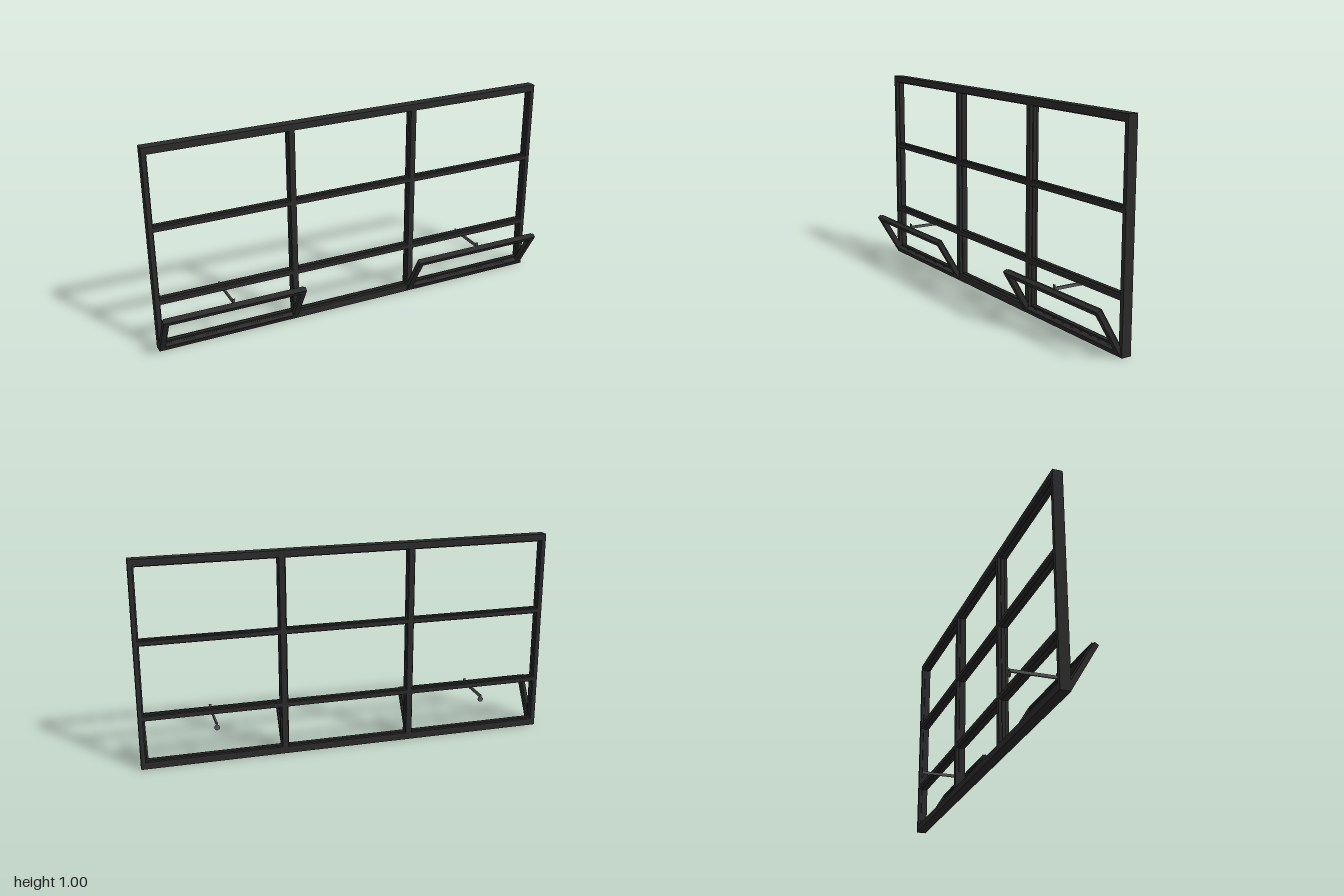
import * as THREE from 'three';

const frameMat = new THREE.MeshStandardMaterial({ color: 0x2a2a2a });
frameMat.name = 'charcoal frame';
const metalMat = new THREE.MeshStandardMaterial({ color: 0x555555 });
metalMat.name = 'grey metal';

function rectPath(path, x0, y0, x1, y1) {
  path.moveTo(x0, y0);
  path.lineTo(x1, y0);
  path.lineTo(x1, y1);
  path.lineTo(x0, y1);
  path.closePath();
  return path;
}

// Flat panel [x0, y0, x1, y1] with rectangular openings, spanning z0..z1
function panel(name, outer, holes, z0, z1) {
  const shape = rectPath(new THREE.Shape(), ...outer);
  holes.forEach((h) => shape.holes.push(rectPath(new THREE.Path(), ...h)));
  const geo = new THREE.ExtrudeGeometry(shape, { depth: z1 - z0, bevelEnabled: false });
  geo.translate(0, 0, z0);
  const mesh = new THREE.Mesh(geo, frameMat);
  mesh.name = name;
  return mesh;
}

function box(name, w, h, d, x, y, z) {
  const mesh = new THREE.Mesh(new THREE.BoxGeometry(w, h, d), metalMat);
  mesh.name = name;
  mesh.position.set(x, y, z);
  return mesh;
}

// Nine-bay fixed frame: grid bars with a glazing lip inside each opening
function makeFrame() {
  const group = new THREE.Group();
  group.name = 'windowFrame';
  const columns = [[-0.973, -0.333], [-0.293, 0.293], [0.333, 0.973]];
  const rows = [[0.04, 0.235], [0.268, 0.597], [0.63, 0.962]];
  const openings = (grow) => columns.flatMap(([x0, x1]) =>
    rows.map(([y0, y1]) => [x0 - grow, y0 - grow, x1 + grow, y1 + grow]));
  group.add(panel('frameBars', [-1, 0, 1, 1], openings(0.006), -0.05, -0.003));
  group.add(panel('glazingLip', [-0.99, 0.01, 0.99, 0.99], openings(0), -0.036, -0.018));
  return group;
}

// Bottom-hinged sash, tilted outwards
function makeSash(x0, x1, side) {
  const sash = new THREE.Group();
  sash.name = side + 'Sash';
  const h = 0.246;
  const hole = [x0 + 0.027, 0.03, x1 - 0.027, h - 0.024];
  sash.add(panel('sashFace', [x0, 0, x1, h], [hole], -0.022, 0));
  const inner = [x0 + 0.02, 0.022, x1 - 0.02, h - 0.017];
  sash.add(panel('sashRebate', [x0 + 0.007, 0.007, x1 - 0.007, h - 0.004], [inner], -0.029, -0.022));
  sash.position.set(0, 0, -0.005);
  sash.rotation.x = 0.533;
  return sash;
}

// Opener arm with a mounting plate at the sash and a small pull behind
function makeOpener(x, side) {
  const opener = new THREE.Group();
  opener.name = side + 'Opener';
  opener.add(box('openerArm', 0.008, 0.014, 0.212, x, 0.219, -0.018));
  opener.add(box('mountingPlate', 0.012, 0.028, 0.004, x, 0.224, 0.087));
  opener.add(box('pullStem', 0.008, 0.02, 0.006, x, 0.211, -0.121));
  const disc = new THREE.Mesh(new THREE.CylinderGeometry(0.013, 0.013, 0.006, 16), metalMat);
  disc.name = 'pullDisc';
  disc.rotation.x = Math.PI / 2;
  disc.position.set(x, 0.203, -0.122);
  opener.add(disc);
  return opener;
}

export function createModel() {
  const model = new THREE.Group();
  model.name = 'tiltWindow';
  model.add(makeFrame());
  model.add(makeSash(-1, -0.309, 'right'), makeOpener(-0.66, 'right'));
  model.add(makeSash(0.298, 0.989, 'left'), makeOpener(0.65, 'left'));
  return model;
}
